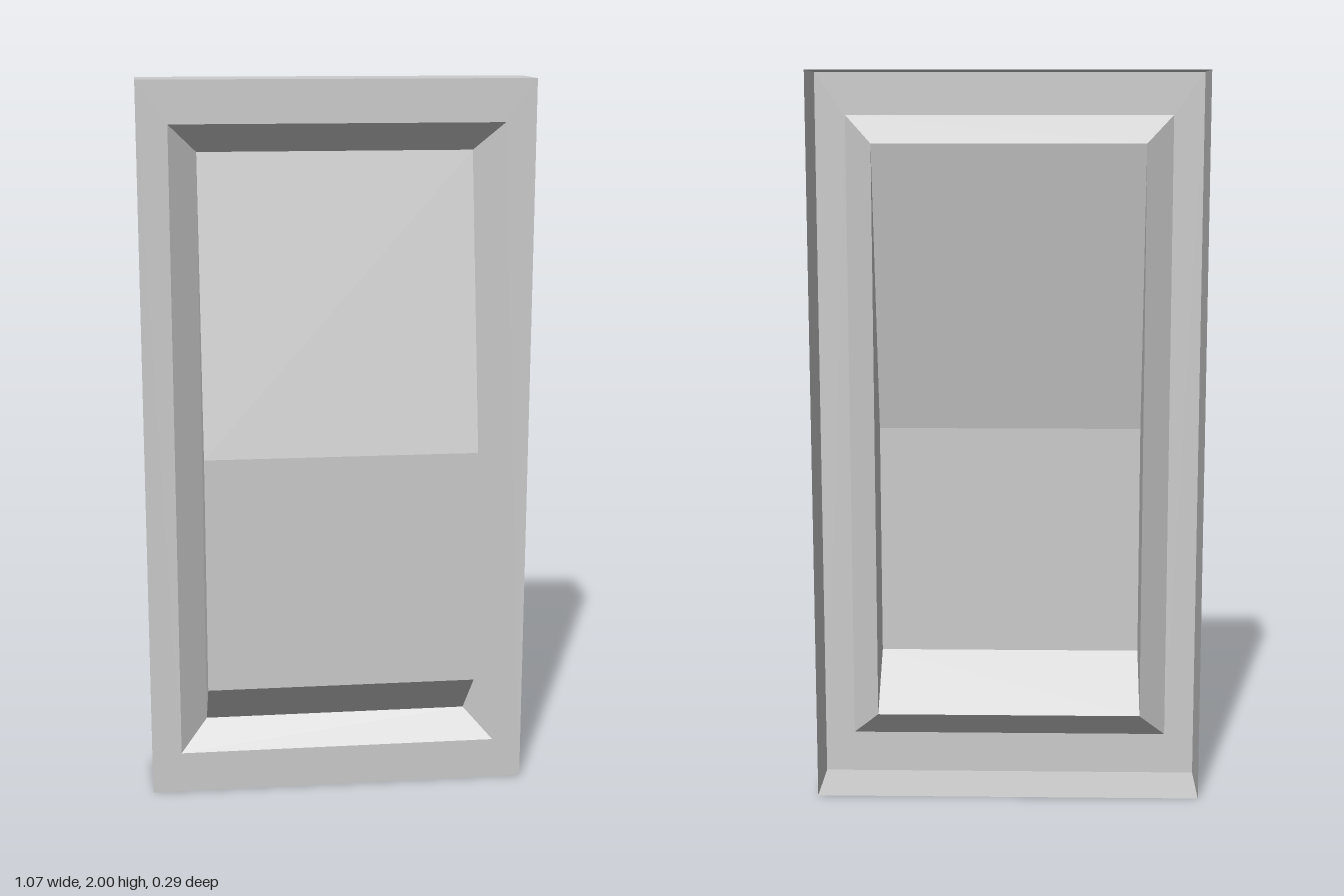
import * as THREE from 'three';

// Flat-faced sheet from quads, each given as four corners counter-clockwise from outside
function sheet(name, quads, material) {
  const positions = quads.flatMap(([a, b, c, d]) => [a, b, c, a, c, d]).flat();
  const geometry = new THREE.BufferGeometry();
  geometry.setAttribute('position', new THREE.Float32BufferAttribute(positions, 3));
  geometry.computeVertexNormals();
  const mesh = new THREE.Mesh(geometry, material);
  mesh.name = name;
  return mesh;
}

// Rectangular ring of four corners at depth z
const ring = (halfWidth, bottom, top, z) => [
  [-halfWidth, bottom, z], [halfWidth, bottom, z],
  [halfWidth, top, z], [-halfWidth, top, z],
];

// Band of quads joining two rings
const band = (a, b) => a.map((p, i) => {
  const j = (i + 1) % a.length;
  return [p, a[j], b[j], b[i]];
});

export function createModel() {
  const group = new THREE.Group();
  group.name = 'rockerSwitch';
  const material = new THREE.MeshStandardMaterial({
    color: 0xcccccc, flatShading: true, side: THREE.DoubleSide,
  });

  const front = 0.055, back = -0.145, recess = -0.013, half = 0.374;
  const outerBack = ring(0.533, 0, 2, back);
  const outerFront = ring(0.533, 0, 2, front);
  const opening = ring(0.45, 0.117, 1.885, front);
  const inner = ring(half, 0.194, 1.808, recess);

  // Housing: thin walls, front rim and sloped recess, open at the back
  group.add(sheet('outerWalls', band(outerBack, outerFront), material));
  group.add(sheet('frontRim', band(outerFront, opening), material));
  group.add(sheet('recessBevel', band(opening, inner), material));

  // Rocker: hollow paddle swept across x from a side profile of [y, z]
  const profile = [[0.194, recess], [0.34, 0.145], [1.0, 0.145], [1.808, recess]];
  const left = profile.map(([y, z]) => [half, y, z]);
  const right = profile.map(([y, z]) => [-half, y, z]);
  const faces = [0, 1, 2].map((i) => [right[i], left[i], left[i + 1], right[i + 1]]);
  group.add(sheet('rocker', [...faces, [...left].reverse(), right], material));

  return group;
}
